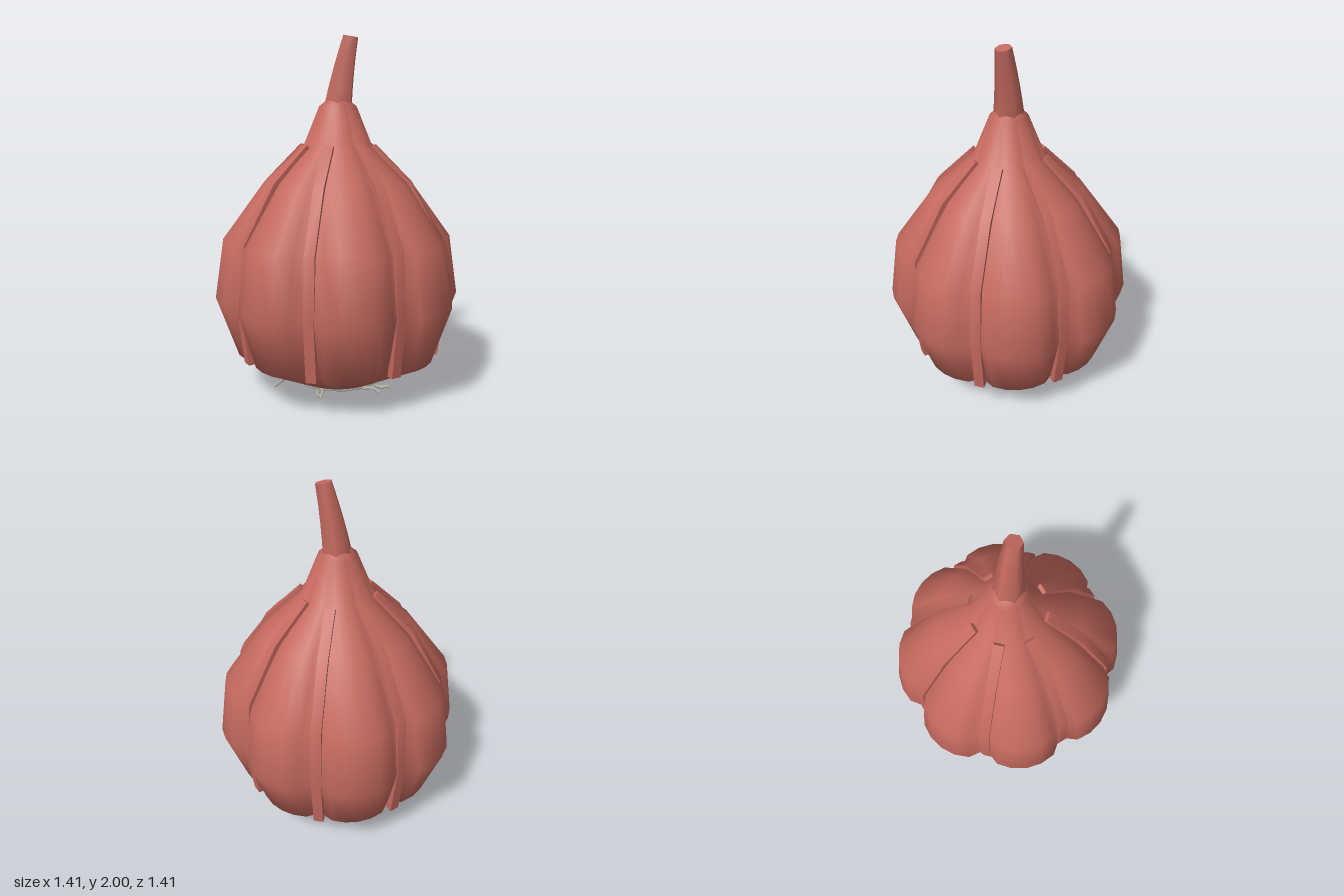
import * as THREE from 'three';
import { mergeVertices } from 'three/addons/utils/BufferGeometryUtils.js';

const skin = new THREE.MeshStandardMaterial({ color: 0xc4695e });
skin.name = 'skin red';
const rootGrey = new THREE.MeshStandardMaterial({ color: 0xb9b6a8 });
rootGrey.name = 'root grey';

function mesh(name, geometry, material) {
  const m = new THREE.Mesh(geometry, material);
  m.name = name;
  return m;
}

// Move every vertex by a rule, then rebuild the normals
function reshape(geometry, rule) {
  const p = geometry.attributes.position;
  const v = new THREE.Vector3();
  for (let i = 0; i < p.count; i++) {
    v.fromBufferAttribute(p, i);
    rule(v);
    p.setXYZ(i, v.x, v.y, v.z);
  }
  geometry.computeVertexNormals();
  return geometry;
}

// Eight-lobed bulb: radius, height and groove depth for each ring
function bulb() {
  const rings = [
    [0.265, 0.045, 0], [0.59, 0.21, 0.12], [0.705, 0.53, 0.15], [0.655, 0.87, 0.15],
    [0.42, 1.19, 0.11], [0.195, 1.39, 0.04], [0.105, 1.61, 0], [0.06, 1.645, 0],
  ];
  let g = new THREE.LatheGeometry(rings.map(([r, y]) => new THREE.Vector2(r, y)), 48);
  g.deleteAttribute('uv');
  g.deleteAttribute('normal');
  reshape(g, (v) => {
    const depth = rings.find((r) => Math.abs(r[1] - v.y) < 0.001)[2];
    const a = Math.atan2(v.x, v.z);
    const s = 1 - depth * (1 - Math.sqrt(Math.abs(Math.cos(4 * a))));
    v.x *= s;
    v.z *= s;
  });
  g.deleteAttribute('normal');
  g = mergeVertices(g, 1e-4);
  g.computeVertexNormals();
  return g;
}

// Rib lying in a groove: radius, height and outward direction for each row
function rib() {
  const rows = [
    [0.565, 0.21, 1, 0], [0.605, 0.53, 1, 0], [0.58, 0.87, 0.95, 0.3],
    [0.405, 1.18, 0.8, 0.6], [0.2, 1.385, 0.75, 0.66],
  ];
  const g = new THREE.BoxGeometry(0.056, 1, 0.04, 1, 4, 1);
  return reshape(g, (v) => {
    const [r, y, nr, ny] = rows[Math.round((v.y + 0.5) * 4)];
    v.y = y + v.z * ny;
    v.z = r + v.z * nr;
  });
}

// Bent, tapering six-sided stem
function stem() {
  const g = new THREE.CylinderGeometry(0.045, 0.086, 1, 6, 4);
  g.rotateY(Math.PI / 2);
  return reshape(g, (v) => {
    const t = v.y + 0.5;
    const tilt = 0.22 * t * v.x;
    v.y = 1.6 + 0.39 * t - tilt;
    v.x += 0.045 * t + 0.027 * t * t;
    v.z -= 0.022 * t;
  });
}

export function createModel() {
  const model = new THREE.Group();
  model.name = 'bulb model';
  model.add(mesh('bulb', bulb(), skin), mesh('stem', stem(), skin));

  const ribs = new THREE.Group();
  ribs.name = 'ribs';
  const ribGeometry = rib();
  for (let i = 0; i < 8; i++) {
    const m = mesh('rib', ribGeometry, skin);
    m.rotation.y = (i + 0.5) * Math.PI / 4;
    ribs.add(m);
  }
  model.add(ribs);

  // Shallow root plate underneath
  const plate = new THREE.SphereGeometry(0.27, 16, 6, 0, Math.PI * 2, Math.PI / 2, Math.PI / 2);
  plate.scale(1, 0.15, 1);
  const base = mesh('rootPlate', plate, rootGrey);
  base.position.y = 0.0405;
  model.add(base);

  // Short loose roots: inner x, z and outer x, z
  const roots = new THREE.Group();
  roots.name = 'roots';
  [
    [-0.26, 0.16, -0.29, 0.26], [-0.17, 0.26, -0.17, 0.38],
    [-0.25, -0.19, -0.32, -0.17], [-0.27, -0.15, -0.36, -0.12],
    [0.16, -0.26, 0.15, -0.37], [0.23, -0.20, 0.28, -0.28],
    [0.30, 0.06, 0.37, 0.02], [0.27, 0.13, 0.36, 0.10],
    [0.08, 0.30, 0.15, 0.36], [0.09, 0.28, 0.14, 0.35],
  ].forEach(([x0, z0, x1, z1], i) => {
    const bend = i % 2 ? 0.008 : -0.006;
    const path = new THREE.CatmullRomCurve3([
      new THREE.Vector3(x0, 0.052, z0),
      new THREE.Vector3((x0 + x1) / 2 + bend, 0.05 + bend, (z0 + z1) / 2 - bend),
      new THREE.Vector3(x1, 0.046 - bend, z1),
    ]);
    roots.add(mesh('root', new THREE.TubeGeometry(path, 4, 0.008, 5), rootGrey));
  });
  model.add(roots);
  return model;
}
